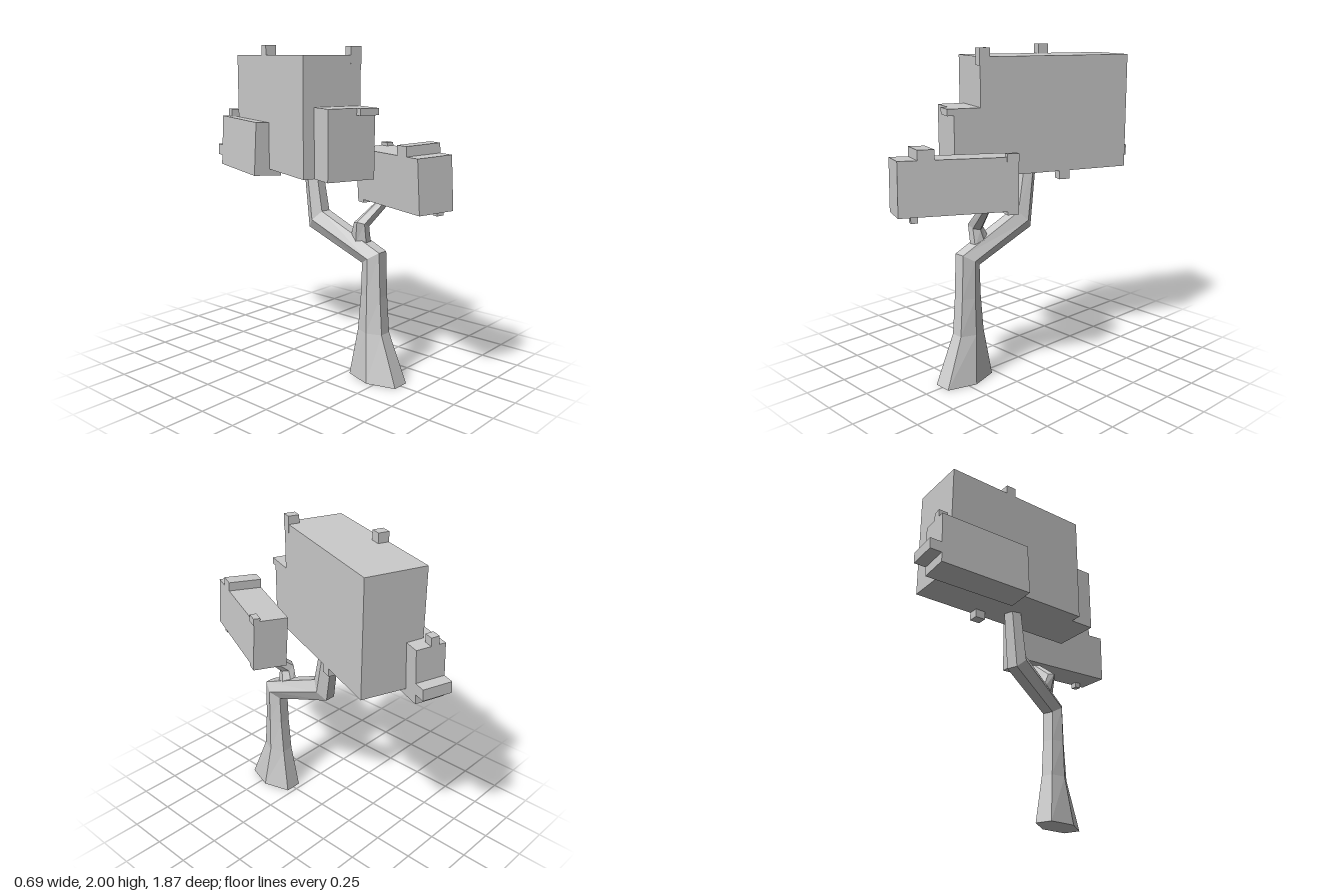
import * as THREE from 'three';

const material = new THREE.MeshStandardMaterial({ color: 0xcccccc, flatShading: true });

// Box given by its [min, max] extent on each axis
function box(parent, name, [x0, x1], [y0, y1], [z0, z1]) {
  const mesh = new THREE.Mesh(new THREE.BoxGeometry(x1 - x0, y1 - y0, z1 - z0), material);
  mesh.position.set((x0 + x1) / 2, (y0 + y1) / 2, (z0 + z1) / 2);
  mesh.name = name;
  parent.add(mesh);
}

// Six-sided limb through sections of { c: centre, u: side half-axis, v: front half-axis }
function limb(name, sections) {
  const n = 6, positions = [], index = [];
  for (const { c, u, v } of sections) {
    for (let i = 0; i < n; i++) {
      const a = (i / n) * Math.PI * 2;
      const cu = Math.cos(a), cv = Math.sin(a) / Math.sin(Math.PI / 3);
      for (let k = 0; k < 3; k++) positions.push(c[k] + u[k] * cu + v[k] * cv);
    }
  }
  const last = (sections.length - 1) * n;
  for (let s = 0; s < last; s += n) {
    for (let i = 0; i < n; i++) {
      const j = (i + 1) % n;
      index.push(s + i, s + n + i, s + j, s + j, s + n + i, s + n + j);
    }
  }
  for (let i = 1; i < n - 1; i++) index.push(0, i, i + 1, last, last + i + 1, last + i);
  const geometry = new THREE.BufferGeometry();
  geometry.setAttribute('position', new THREE.Float32BufferAttribute(positions, 3));
  geometry.setIndex(index);
  geometry.computeVertexNormals();
  const mesh = new THREE.Mesh(geometry, material);
  mesh.name = name;
  return mesh;
}

function cluster(parent, name, position, rotation) {
  const group = new THREE.Group();
  group.name = name;
  group.position.set(...position);
  group.rotation.set(...rotation, 'YXZ');
  parent.add(group);
  return group;
}

export function createModel() {
  const tree = new THREE.Group();
  tree.name = 'tree';

  // Flared trunk bending back into the main branch
  tree.add(limb('trunk', [
    { c: [0, 0, 0.455], u: [0.11, 0, 0], v: [0, 0, 0.175] },
    { c: [0, 0.3, 0.42], u: [0.075, 0, 0], v: [0, 0, 0.09] },
    { c: [0, 0.53, 0.42], u: [0.07, 0, 0], v: [0, 0, 0.072] },
    { c: [0, 0.76, 0.417], u: [0.07, 0, 0], v: [0, 0.04, 0.063] },
    { c: [0, 0.935, -0.02], u: [0.07, 0, 0], v: [0, 0.055, 0.052] },
    { c: [0, 1.26, -0.07], u: [0.06, 0, 0], v: [0, 0, 0.05] },
  ]));

  // Thin side branch that carries the smaller foliage
  tree.add(limb('sideBranch', [
    { c: [0, 0.83, 0.31], u: [0.045, 0, 0], v: [0, 0, 0.065] },
    { c: [-0.02, 0.95, 0.335], u: [0.045, -0.02, 0], v: [0, 0, 0.04] },
    { c: [0.15, 1.1, 0.4], u: [0.025, -0.025, 0], v: [0, 0, 0.025] },
  ]));

  // Large foliage block with its step and knobs
  const main = cluster(tree, 'mainFoliage', [0, 0, 0], [0, -0.358, 0]);
  box(main, 'mainBlock', [-0.268, 0.105], [1.24, 1.94], [-0.69, 0.282]);
  box(main, 'frontStep', [-0.198, 0.105], [1.24, 1.65], [0.27, 0.445]);
  box(main, 'stepLip', [-0.015, 0.105], [1.61, 1.65], [0.44, 0.485]);
  box(main, 'topKnob', [-0.268, -0.2], [1.93, 2.0], [-0.292, -0.225]);
  box(main, 'cornerKnob', [0.038, 0.107], [1.89, 1.99], [0.222, 0.286]);
  box(main, 'bottomKnob', [0.04, 0.105], [1.187, 1.25], [-0.3, -0.232]);

  // Slab of foliage on the far side, slightly tilted
  const slab = cluster(tree, 'backFoliage', [-0.075, 1.365, -0.555], [0, -0.38, -0.05]);
  box(slab, 'backSlab', [-0.09, 0.09], [-0.165, 0.165], [-0.3, 0.3]);
  box(slab, 'slabLip', [-0.09, 0.09], [-0.105, -0.035], [-0.375, -0.29]);
  box(slab, 'slabKnob', [-0.05, 0.0], [0.16, 0.215], [-0.3, -0.24]);

  // Smaller foliage block at the front, slightly tilted
  const small = cluster(tree, 'frontFoliage', [0.067, 1.245, 0.56], [-0.025, -0.4, 0.05]);
  box(small, 'frontBlock', [-0.109, 0.109], [-0.155, 0.155], [-0.347, 0.347]);
  box(small, 'topRidge', [-0.109, 0.109], [0.15, 0.212], [0.14, 0.237]);
  box(small, 'cornerKnob', [0.07, 0.112], [0.13, 0.175], [-0.347, -0.275]);
  box(small, 'bottomRidge', [-0.109, 0.109], [-0.175, -0.15], [-0.347, -0.28]);
  box(small, 'bottomKnob', [0.05, 0.095], [-0.19, -0.15], [0.235, 0.275]);

  return tree;
}
